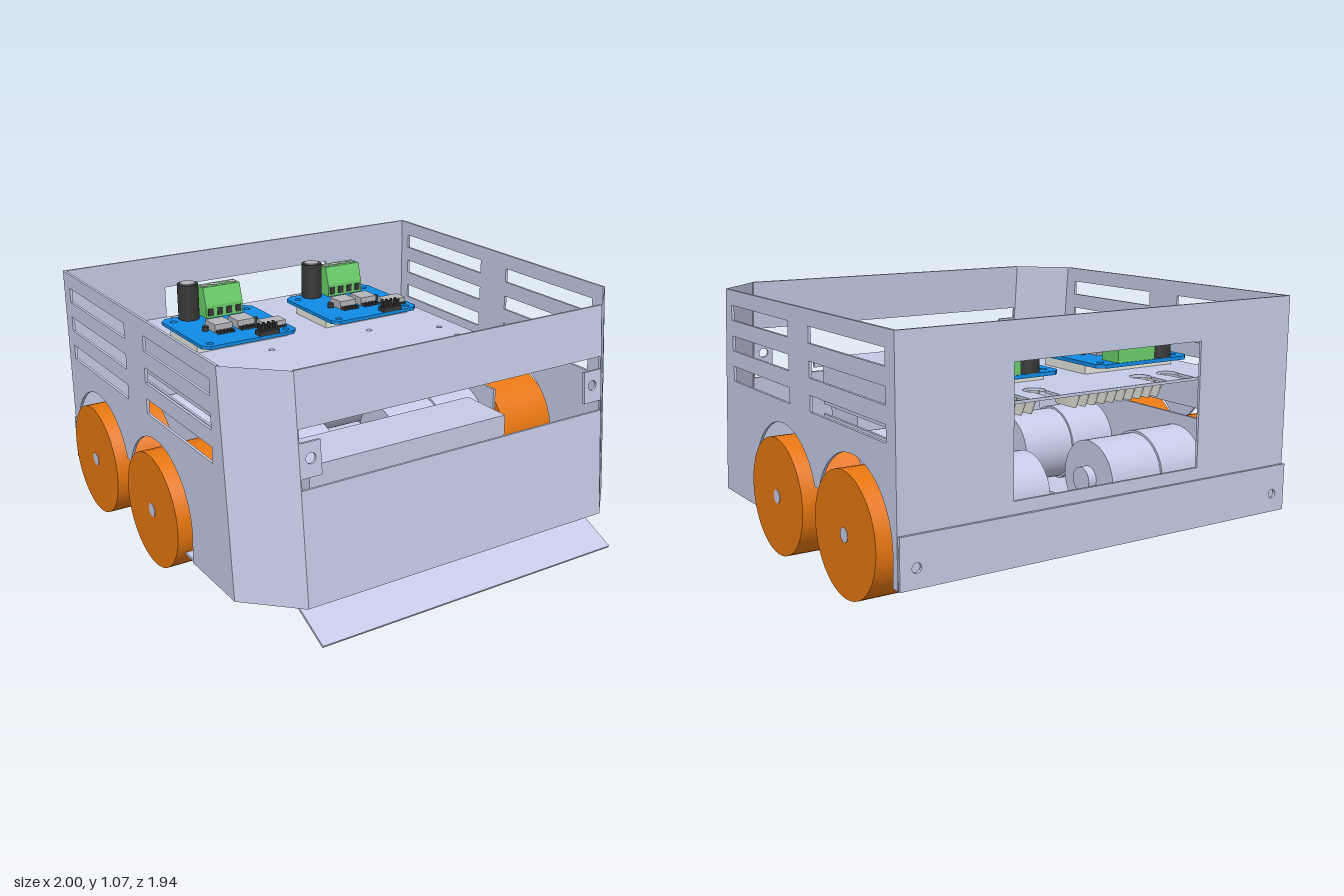
import * as THREE from 'three';

const mat = (name, color) => {
  const m = new THREE.MeshStandardMaterial({ color });
  m.name = name;
  return m;
};

export function createModel() {
  const sheet = mat('sheet metal', 0xc6cce8);
  const orange = mat('wheel orange', 0xf07c12);
  const blue = mat('board blue', 0x0f8be6);
  const green = mat('terminal green', 0x6cd06c);
  const black = mat('component black', 0x383838);
  const cream = mat('heat sink cream', 0xe6e6de);
  const grey = mat('chip grey', 0xb4b6ba);
  const sheetDouble = sheet.clone();
  sheetDouble.side = THREE.DoubleSide;
  const T = 0.012; // sheet thickness

  const root = new THREE.Group();
  root.name = 'roverChassis';
  const add = (name, geo, material, parent = root) => {
    const m = new THREE.Mesh(geo, material);
    m.name = name;
    parent.add(m);
    return m;
  };
  // box given by its minimum and maximum on each axis
  const box = (name, x0, x1, y0, y1, z0, z1, material, parent) =>
    add(name, new THREE.BoxGeometry(x1 - x0, y1 - y0, z1 - z0)
      .translate((x0 + x1) / 2, (y0 + y1) / 2, (z0 + z1) / 2), material, parent);
  // cylinder along x
  const rod = (name, r, x0, x1, y, z, material, parent) =>
    add(name, new THREE.CylinderGeometry(r, r, Math.abs(x1 - x0), 48)
      .rotateZ(Math.PI / 2).translate((x0 + x1) / 2, y, z), material, parent);
  const post = (name, r, x, y0, y1, z, material, parent) =>
    add(name, new THREE.CylinderGeometry(r, r, y1 - y0, 24).translate(x, (y0 + y1) / 2, z), material, parent);

  const shapeOf = pts => new THREE.Shape(pts.map(p => new THREE.Vector2(...p)));
  const rectHole = (s, x0, x1, y0, y1) =>
    s.holes.push(new THREE.Path([[x0, y0], [x0, y1], [x1, y1], [x1, y0]].map(p => new THREE.Vector2(...p))));
  const roundHole = (s, x, y, r) => s.holes.push(new THREE.Path().absarc(x, y, r, 0, Math.PI * 2, true));
  const extrude = (s, depth = T) =>
    new THREE.ExtrudeGeometry(s, { depth, bevelEnabled: false, curveSegments: 24 });
  // horizontal plate from a shape drawn in (x, -z), lower face at y
  const plate = (s, y, depth = T) => extrude(s, depth).rotateX(-Math.PI / 2).translate(0, y, 0);
  const mirrored = half => [...half, ...half.map(([x, y]) => [-x, y]).reverse()];

  const wheelZ = [0.015, -0.608], axleY = 0.255;

  // Side walls with merged wheel arches and vent slots
  const side = new THREE.Shape();
  side.moveTo(-0.95, 0.13);
  side.lineTo(-0.915, 0.13);
  const a0 = Math.asin(0.105 / 0.31);
  side.absarc(wheelZ[1], axleY, 0.31, Math.PI, a0, true);
  side.absarc(wheelZ[0], axleY, 0.31, Math.PI - a0, 0, true);
  side.lineTo(0.315, 0.13);
  side.lineTo(0.68, 0.13);
  side.lineTo(0.6, 1.07);
  side.lineTo(-0.95, 1.07);
  for (const y of [0.66, 0.797, 0.935])
    for (const [z0, z1] of [[-0.06, 0.54], [-0.88, -0.255]]) rectHole(side, z0, z1, y, y + 0.067);
  for (const [name, x] of [['leftWall', 0.96], ['rightWall', -0.96 + T]])
    add(name, extrude(side).rotateY(-Math.PI / 2).translate(x, 0, 0), sheet);

  // Leaning front wall with the wide opening and its two bracket tabs
  const front = shapeOf([[-0.75, 0], [0.75, 0], [0.75, 0.944], [-0.75, 0.944]]);
  front.holes.push(new THREE.Path(mirrored([[0.745, 0.48], [0.745, 0.525], [0.655, 0.525],
    [0.655, 0.665], [0.745, 0.665], [0.745, 0.72]]).map(p => new THREE.Vector2(...p))));
  for (const x of [-0.7, 0.7]) roundHole(front, x, 0.6, 0.022);
  add('frontWall', extrude(front).rotateX(-Math.atan(0.085 / 0.94)).translate(0, 0.13, 0.873), sheet);

  // Angled corner panels
  for (const s of [1, -1]) {
    const g = new THREE.BufferGeometry();
    g.setAttribute('position', new THREE.Float32BufferAttribute([
      s * 0.75, 0.13, 0.885, s * 0.96, 0.13, 0.68, s * 0.96, 1.07, 0.6, s * 0.75, 1.07, 0.8], 3));
    g.setIndex(s > 0 ? [0, 1, 2, 0, 2, 3] : [0, 2, 1, 0, 3, 2]);
    g.computeVertexNormals();
    add('cornerPanel', g, sheetDouble);
  }

  // Back wall with service opening, and the bolted rear lip
  const back = shapeOf([[-0.96, 0.13], [0.96, 0.13], [0.96, 1.07], [-0.96, 1.07]]);
  rectHole(back, -0.46, 0.46, 0.385, 0.915);
  add('backWall', extrude(back).translate(0, 0, -0.95), sheet);
  const lip = shapeOf([[-0.96, 0.13], [0.96, 0.13], [0.96, 0.335], [-0.96, 0.335]]);
  for (const x of [-0.89, 0.89]) roundHole(lip, x, 0.21, 0.02);
  add('rearLip', extrude(lip).translate(0, 0, -0.967), sheet);

  // Base plate, notched for the wheels
  const base = shapeOf(mirrored([[0.75, -0.875], [0.955, -0.67], [0.955, -0.23], [0.67, -0.23],
    [0.67, 0.925], [0.955, 0.925], [0.955, 0.96]]));
  rectHole(base, -0.25, 0.25, 0.17, 0.53);
  for (const s of [1, -1]) {
    for (let i = 0; i < 4; i++) {
      const x = s * (0.765 + i * 0.05);
      rectHole(base, x - 0.015, x + 0.015, -0.48, -0.285);
    }
    for (const [x, z] of [[0.695, 0.585], [0.695, 0.66], [0.85, 0.665], [0.75, 0.77]]) roundHole(base, s * x, -z, 0.014);
  }
  add('basePlate', plate(base, 0.13), sheet);
  // Corner gussets
  for (const s of [1, -1]) {
    const g = shapeOf([[0.64, -0.78], [0.65, -0.73], [0.8, -0.575], [0.84, -0.575], [0.93, -0.67], [0.75, -0.85], [0.7, -0.85]]
      .map(([x, y]) => [s * x, y]));
    for (const [x, z] of [[0.85, 0.665], [0.75, 0.77]]) roundHole(g, s * x, -z, 0.014);
    add('cornerGusset', plate(g, 0.142, 0.006), sheet);
  }

  // Sloping front scoop
  const scoop = shapeOf([[0.56, 0.118], [0.7, 0.118], [0.965, 0], [0.97, 0.01], [0.703, 0.13], [0.56, 0.13]]);
  add('frontScoop', extrude(scoop, 1.48).rotateY(-Math.PI / 2).translate(0.74, 0, 0), sheet);

  // Battery box and its front tray
  box('batteryBox', -0.52, 0.495, 0.142, 0.53, 0.25, 0.515, sheet);
  box('batteryTray', -0.52, 0.495, 0.142, 0.155, 0.53, 0.83, sheet);

  // Electronics deck with keyhole slots, side flanges and front lip
  const deck = shapeOf([[-0.665, -0.34], [0.665, -0.34], [0.665, 0.937], [-0.665, 0.937]]);
  for (const x of [-0.415, -0.27, 0.265, 0.41]) {
    const k = new THREE.Path();
    k.moveTo(x - 0.03, 0.93);
    k.lineTo(x + 0.03, 0.93);
    k.lineTo(x + 0.03, 0.83);
    k.absarc(x, 0.8, 0.045, 0.73, Math.PI - 0.73, true);
    k.lineTo(x - 0.03, 0.93);
    deck.holes.push(k);
  }
  for (const [x, z] of [[-0.6, -0.89], [0.59, -0.89], [-0.575, -0.085], [-0.575, 0.06], [0.57, -0.085],
    [0.57, 0.06], [-0.27, -0.225], [0.26, -0.225], [-0.17, 0.3], [0.165, 0.3]]) roundHole(deck, x, -z, 0.014);
  add('deck', plate(deck, 0.753), sheet);
  box('deckFrontLip', -0.665, 0.665, 0.725, 0.753, 0.328, 0.34, sheet);
  for (const s of [1, -1]) {
    const x = s * 0.659;
    box('deckFlange', x - 0.006, x + 0.006, 0.575, 0.753, -0.937, 0.24, sheet);
    box('motorBracket', x - 0.006, x + 0.006, 0.142, 0.53, -0.937, 0.24, sheet);
  }

  // Wheels with motors
  for (const s of [1, -1]) for (const z of wheelZ) {
    const g = new THREE.Group();
    g.name = 'wheelAssembly';
    root.add(g);
    rod('wheel', 0.253, s * 0.71, s * 0.998, axleY, z, orange, g);
    rod('axle', 0.03, s * 0.66, s, axleY, z, sheet, g);
    rod('hub', 0.056, s * 0.64, s * 0.715, axleY, z, sheet, g);
    rod('gearbox', 0.175, s * 0.42, s * 0.653, axleY + 0.05, z, sheet, g);
    rod('motor', 0.165, s * 0.16, s * 0.42, axleY + 0.05, z, sheet, g);
    rod('motorBoss', 0.055, s * 0.12, s * 0.16, axleY + 0.05, z, sheet, g);
  }

  // Motor driver boards, drawn about the board centre in x
  for (const cx of [-0.342, 0.338]) {
    const b = new THREE.Group();
    b.name = 'driverBoard';
    b.position.x = cx;
    root.add(b);
    const pcb = shapeOf([[-0.242, 0.3], [-0.212, 0.27], [0.212, 0.27], [0.242, 0.3],
      [0.242, 0.72], [0.212, 0.75], [-0.212, 0.75], [-0.242, 0.72]]);
    for (const x of [-0.195, 0.195]) for (const z of [0.31, 0.69]) roundHole(pcb, x, z, 0.016);
    add('circuitBoard', plate(pcb, 0.803, 0.016), blue, b);
    box('heatSinkBlock', -0.235, 0.235, 0.766, 0.802, -0.64, -0.36, cream, b);
    for (let i = 0; i < 10; i++) {
      const fin = new THREE.CylinderGeometry(0.018, 0.009, 0.143, 4, 1).rotateY(Math.PI / 4).scale(1, 1, 10);
      add('heatSinkFin', fin.translate(-0.225 + i * 0.05, 0.681, -0.5), cream, b);
    }
    // terminal block with sloped front and screws
    const term = shapeOf([[-0.75, 0.82], [-0.645, 0.82], [-0.645, 0.88], [-0.67, 0.965], [-0.735, 0.965], [-0.75, 0.9]]);
    add('terminalBlock', extrude(term, 0.195).rotateY(-Math.PI / 2).translate(0.15, 0, 0), green, b);
    for (let i = 0; i < 4; i++) {
      const x = -0.021 + i * 0.049;
      post('terminalScrew', 0.02, x, 0.96, 0.968, -0.703, grey, b);
      box('wireSlot', x - 0.014, x + 0.014, 0.83, 0.865, -0.648, -0.641, black, b);
    }
    post('capacitor', 0.05, -0.108, 0.819, 0.99, -0.702, black, b);
    post('capacitorTop', 0.036, -0.108, 0.989, 0.995, -0.702, grey, b);
    // driver chips with dark legs
    for (const x of [-0.063, 0.055]) {
      box('driverChip', x - 0.045, x + 0.045, 0.819, 0.858, -0.53, -0.43, grey, b);
      box('chipTab', x - 0.045, x + 0.045, 0.819, 0.83, -0.545, -0.53, grey, b);
      for (let i = -2; i <= 2; i++)
        box('chipLeg', x + i * 0.018 - 0.005, x + i * 0.018 + 0.005, 0.819, 0.832, -0.43, -0.4, black, b);
    }
    box('logicChip', 0.108, 0.222, 0.824, 0.848, -0.43, -0.355, grey, b);
    box('logicChipLegs', 0.113, 0.217, 0.819, 0.826, -0.442, -0.343, black, b);
    for (const x of [-0.13, 0.13]) post('smallCapacitor', 0.015, x, 0.819, 0.84, -0.487, black, b);
    // pin header
    box('pinHeader', 0.04, 0.142, 0.819, 0.84, -0.322, -0.272, black, b);
    for (let i = 0; i < 4; i++) for (const z of [-0.31, -0.284]) {
      const x = 0.053 + i * 0.0255;
      box('headerPin', x - 0.005, x + 0.005, 0.84, 0.872, z - 0.005, z + 0.005, black, b);
    }
  }
  return root;
}
